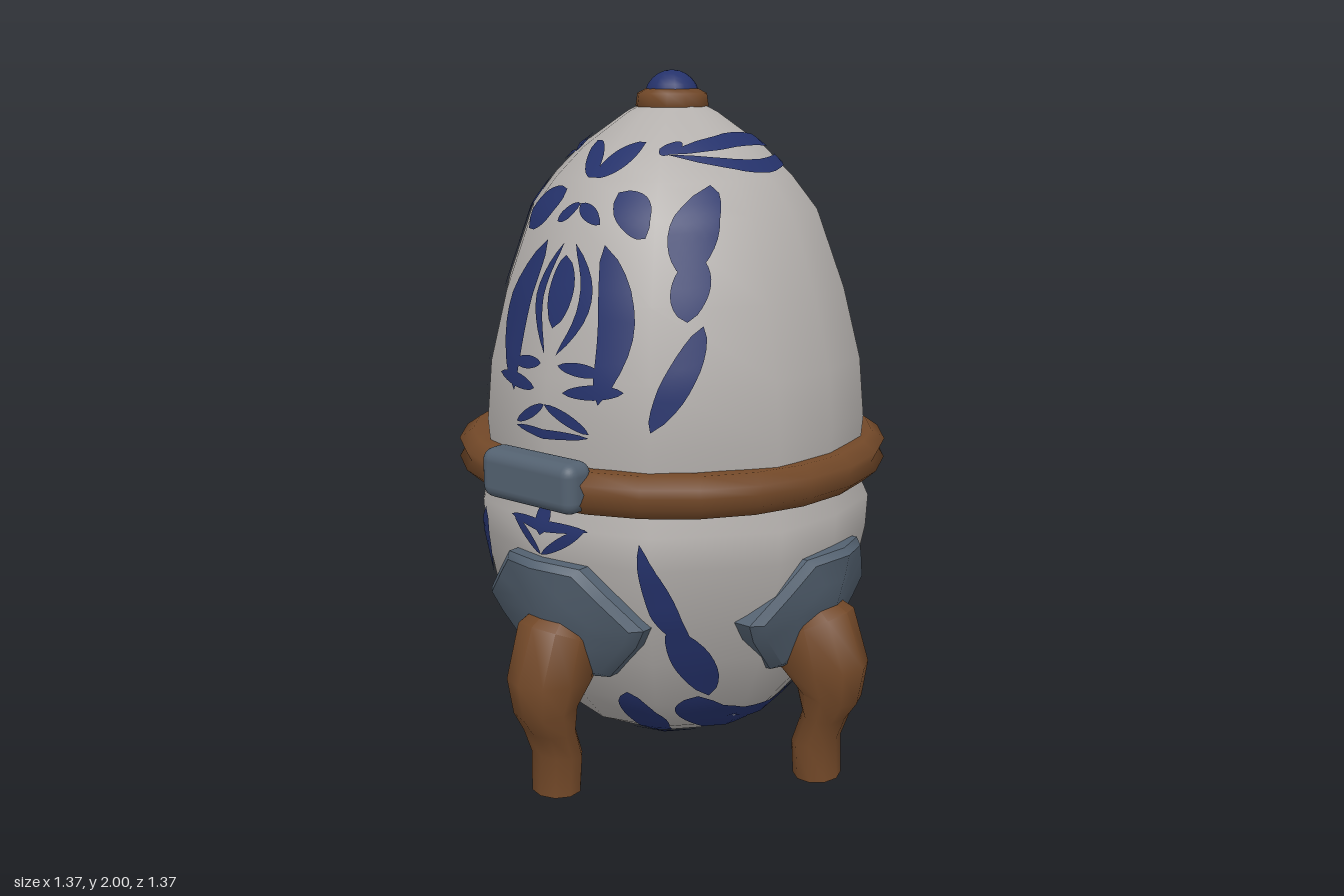
import * as THREE from 'three';
import { toCreasedNormals } from 'three/addons/utils/BufferGeometryUtils.js';
import { RoundedBoxGeometry } from 'three/addons/geometries/RoundedBoxGeometry.js';

const mat = (name, color) => Object.assign(new THREE.MeshStandardMaterial({ color }), { name });

// Shell profile [radius, height] and one quarter of its twelve-sided cross-section
const PROFILE = [[0, 0.02], [0.1, 0.035], [0.17, 0.055], [0.33, 0.14], [0.42, 0.25], [0.49, 0.4], [0.545, 0.55],
  [0.575, 0.7], [0.58, 0.795], [0.555, 0.85], [0.555, 0.97], [0.56, 1.03], [0.545, 1.2], [0.495, 1.4],
  [0.415, 1.62], [0.345, 1.71], [0.265, 1.79], [0.13, 1.885], [0.08, 1.91], [0, 1.92]];
const QUARTER = [[0, 1], [0.526, 0.85], [0.947, 0.386], [1, 0]];

// Linear look-up in a table of pairs, from column "from" to the other one
function lookUp(table, from, v) {
  const to = 1 - from;
  for (let i = 1; i < table.length; i++) {
    const a = table[i - 1], b = table[i];
    if ((v - a[from]) * (v - b[from]) <= 0) {
      return a[to] + (b[to] - a[to]) * (v - a[from]) / (b[from] - a[from]);
    }
  }
  return 0;
}
const radiusAt = (y) => lookUp(PROFILE, 1, y);
const frontDepth = (x, y) => radiusAt(y) * lookUp(QUARTER, 0, Math.min(0.999, Math.abs(x) / radiusAt(y)));
const sideDepth = (z, y) => radiusAt(y) * lookUp(QUARTER, 1, Math.min(0.999, Math.abs(z) / radiusAt(y)));

function shellNormal(p) {
  const d = Math.hypot(p.x, p.z) || 1;
  const slope = (radiusAt(Math.min(1.92, p.y + 0.04)) - radiusAt(Math.max(0.02, p.y - 0.04))) / 0.08;
  return new THREE.Vector3(p.x / d, -slope, p.z / d).normalize();
}

// Lathe whose twelve sides are moved onto the mirrored quarter section
function shellGeometry() {
  const g = new THREE.LatheGeometry(PROFILE.map(([r, y]) => new THREE.Vector2(r, y)), 12);
  const pos = g.attributes.position, p = new THREE.Vector3();
  for (let i = 0; i < pos.count; i++) {
    const k = Math.floor(i / PROFILE.length) % 12, r = PROFILE[i % PROFILE.length][0];
    const [qx, qz] = QUARTER[k % 6 > 3 ? 6 - k % 6 : k % 6];
    p.set((k <= 6 ? qx : -qx) * r, pos.getY(i), (k > 3 && k < 9 ? -qz : qz) * r);
    pos.setXYZ(i, p.x, p.y, p.z);
    const n = shellNormal(p);
    g.attributes.normal.setXYZ(i, n.x, n.y, n.z);
  }
  return g;
}

// Brush strokes of the pattern: start x, y, end x, y, width, sideways bend.
// Each is mirrored left/right and front/back.
const FRONT_STROKES = [
  // flame, its drop and petals
  [0.1, 1.55, 0.15, 1.14, 0.1, 0.05], [0.05, 1.165, 0.22, 1.18, 0.04, 0], [0.03, 1.235, 0.16, 1.22, 0.035, 0],
  [0, 1.52, 0, 1.33, 0.085, 0], [0.02, 1.55, 0.02, 1.26, 0.035, 0.06],
  // small triangle, chevron, wings and dots above
  [0, 1.13, 0.13, 1.06, 0.03, 0], [-0.13, 1.05, 0.13, 1.05, 0.025, 0], [0, 1.65, 0.075, 1.6, 0.035, 0],
  [0.09, 1.68, 0.205, 1.57, 0.085, 0.01], [0, 1.715, 0.085, 1.805, 0.06, 0], [0.135, 1.79, 0.175, 1.79, 0.035, 0],
  // upper side strips
  [0.28, 1.7, 0.31, 1.47, 0.09, 0], [0.31, 1.53, 0.33, 1.36, 0.07, 0], [0.36, 1.35, 0.295, 1.08, 0.06, 0.01],
  // arrow below the clasp
  [0, 0.715, 0.13, 0.8, 0.03, 0], [-0.14, 0.795, 0.14, 0.795, 0.03, 0], [0, 0.86, 0, 0.77, 0.05, 0],
  // lower side strips and underside
  [0.28, 0.78, 0.34, 0.44, 0.055, 0], [0.32, 0.53, 0.33, 0.28, 0.08, 0.01], [0.31, 0.28, 0.28, 0.12, 0.11, 0],
  [0.15, 0.29, 0.16, 0.11, 0.11, 0], [0.02, 0.087, 0.19, 0.085, 0.03, 0],
];
// Strokes in (z, y) on the flanks
const SIDE_STROKES = [
  [-0.225, 1.775, 0.225, 1.775, 0.035, 0.035], [-0.225, 1.775, 0.225, 1.775, 0.035, -0.035],
  [-0.22, 0.24, 0.22, 0.24, 0.05, -0.075],
];

// Outline of one tapered stroke
function strokeOutline([x0, y0, x1, y1, width, bend]) {
  const len = Math.hypot(x1 - x0, y1 - y0), steps = 10, sides = [[], []];
  for (let i = 0; i <= steps; i++) {
    const t = i / steps, swell = Math.sin(Math.PI * t);
    [-1, 1].forEach((s, k) => {
      const off = bend * swell + s * width / 2 * Math.max(0, swell) ** 0.6;
      sides[k].push(new THREE.Vector2(x0 + (x1 - x0) * t - (y1 - y0) / len * off, y0 + (y1 - y0) * t + (x1 - x0) / len * off));
    });
  }
  return [...sides[0], ...sides[1].slice(1, -1).reverse()];
}

// Lays the strokes on the shell, split finely so that they follow its curve
function paintGeometry() {
  const position = [], normal = [];
  const lay = (tri, place) => {
    const len = tri.map((v, i) => v.distanceTo(tri[(i + 1) % 3]));
    const m = len.indexOf(Math.max(...len));
    if (len[m] > 0.03) {
      const a = tri[m], b = tri[(m + 1) % 3], c = tri[(m + 2) % 3];
      const mid = a.clone().add(b).multiplyScalar(0.5);
      lay([a, mid, c], place);
      lay([mid, b, c], place);
      return;
    }
    const pts = tri.map(place), ns = pts.map(shellNormal);
    const face = pts[1].clone().sub(pts[0]).cross(pts[2].clone().sub(pts[0]));
    for (const i of face.dot(ns[0]) > 0 ? [0, 1, 2] : [0, 2, 1]) {
      position.push(...pts[i].clone().addScaledVector(ns[i], 0.007).toArray());
      normal.push(...ns[i].toArray());
    }
  };
  const paint = (stroke, place) => {
    const pts = strokeOutline(stroke);
    for (const f of THREE.ShapeUtils.triangulateShape(pts, [])) lay(f.map((i) => pts[i]), place);
  };
  for (const sx of [1, -1]) for (const sz of [1, -1]) {
    for (const s of FRONT_STROKES) paint(s, (p) => new THREE.Vector3(sx * p.x, p.y, sz * frontDepth(p.x, p.y)));
  }
  for (const sx of [1, -1]) {
    for (const s of SIDE_STROKES) paint(s, (p) => new THREE.Vector3(sx * sideDepth(p.x, p.y), p.y, p.x));
  }
  const g = new THREE.BufferGeometry();
  g.setAttribute('position', new THREE.Float32BufferAttribute(position, 3));
  g.setAttribute('normal', new THREE.Float32BufferAttribute(normal, 3));
  return g;
}

// Skins a list of equal closed rings of points
function loft(rings, crease) {
  const n = rings[0].length, index = [];
  for (let i = 0; i < rings.length - 1; i++) for (let j = 0; j < n; j++) {
    const a = i * n + j, b = i * n + (j + 1) % n;
    index.push(a, b, a + n, b, b + n, a + n);
  }
  const g = new THREE.BufferGeometry();
  g.setAttribute('position', new THREE.Float32BufferAttribute(rings.flat(2), 3));
  g.setIndex(index);
  return toCreasedNormals(g, crease);
}

// Leg sections, bottom to top: inner z, y, outer z, y, half width
function legGeometry() {
  const sections = [[0.54, 0, 0.54, 0, 0], [0.47, 0, 0.605, 0, 0.075], [0.465, 0.1, 0.6, 0.12, 0.08],
    [0.505, 0.21, 0.625, 0.19, 0.088], [0.48, 0.29, 0.665, 0.25, 0.095], [0.41, 0.34, 0.685, 0.36, 0.115],
    [0.42, 0.42, 0.625, 0.515, 0.118], [0.47, 0.5, 0.53, 0.56, 0.07], [0.5, 0.53, 0.5, 0.53, 0]];
  return loft(sections.map(([zi, yi, zo, yo, w]) => Array.from({ length: 10 }, (_, k) => {
    const t = k * Math.PI / 5, c = Math.cos(t) / 2;
    return [Math.sin(t) * w, (yi + yo) / 2 + c * (yo - yi), (zi + zo) / 2 + c * (zo - zi)];
  })), 0.9);
}

// Shield-shaped plate hugging the shell behind each leg
function padGeometry() {
  const half = [[0, 0.705], [0.13, 0.695], [0.2, 0.62], [0.285, 0.53], [0.25, 0.47], [0.14, 0.35], [0, 0.335]];
  const outline = [...half.map(([x, y]) => [-x, y]), ...half.slice(1, -1).reverse()];
  const layers = [[1, -0.03], [1, 0.035], [0.9, 0.055], [0.5, 0.055], [0, 0.055]];
  return loft(layers.map(([s, off]) => outline.map(([x, y]) => {
    const h = 0.52 + (y - 0.52) * s;
    return [x * s, h, frontDepth(x * s, h) + off];
  })), 0.6);
}

export function createModel() {
  const model = new THREE.Group();
  model.name = 'footedEgg';
  const white = mat('shellWhite', 0xb4b0ad), blue = mat('paintBlue', 0x25326b);
  const brown = mat('bronzeBrown', 0x724828), grey = mat('slateGrey', 0x536170);
  const add = (name, geometry, material, parent = model) => {
    const mesh = new THREE.Mesh(geometry, material);
    mesh.name = name;
    parent.add(mesh);
    return mesh;
  };
  const lathe = (profile, sides) => new THREE.LatheGeometry(profile.map(([r, y]) => new THREE.Vector2(r, y)), sides);

  add('eggShell', shellGeometry(), white);
  add('paintedPattern', paintGeometry(), blue);

  // Grooved band round the middle, with a clasp front and back
  add('band', lathe([[0.54, 0.85], [0.59, 0.855], [0.63, 0.89], [0.615, 0.915], [0.63, 0.945], [0.59, 0.972],
    [0.54, 0.968]], 24), brown);
  for (const s of [1, -1]) {
    add(s > 0 ? 'frontClasp' : 'backClasp', new RoundedBoxGeometry(0.335, 0.14, 0.1, 3, 0.035), grey)
      .position.set(0, 0.932, s * 0.595);
  }

  // Finial: collar and bead
  add('topCollar', lathe([[0.09, 1.88], [0.105, 1.9], [0.1, 1.935], [0.075, 1.948], [0.06, 1.93]], 12), brown);
  add('topBead', new THREE.SphereGeometry(0.08, 16, 12), blue).position.y = 1.92;

  // Four legs with their shields
  const leg = legGeometry(), pad = padGeometry();
  ['front', 'left', 'back', 'right'].forEach((side, i) => {
    const group = new THREE.Group();
    group.name = side + 'LegAssembly';
    group.rotation.y = i * Math.PI / 2;
    add(side + 'Leg', leg, brown, group);
    add(side + 'Shield', pad, grey, group);
    model.add(group);
  });
  return model;
}
